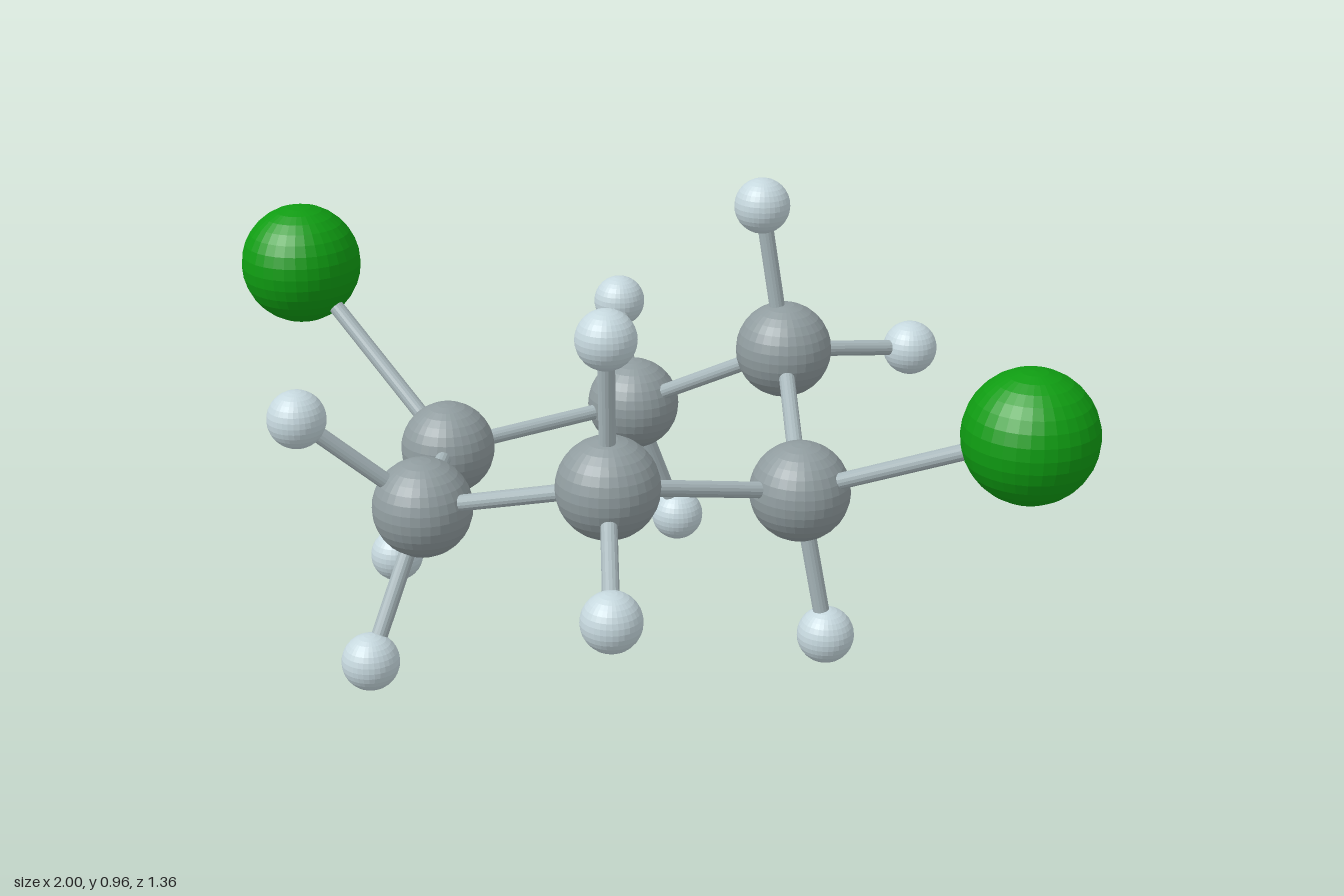
import * as THREE from 'three';

const V = (x, y, z) => new THREE.Vector3(x, y, z);

// Ring carbons in order, each with the smaller atoms attached to it
const RING = [
  { at: V(-0.468, 0.348, 0.002), h: [V(-0.612, 0.06, 0.01)], cl: V(-0.872, 0.69, -0.024) },
  { at: V(-0.233, 0.373, -0.38), h: [V(-0.412, 0.515, -0.607), V(-0.18, 0.073, -0.487)] },
  { at: V(0.158, 0.586, -0.353), h: [V(0.326, 0.538, -0.621), V(0.115, 0.902, -0.325)] },
  { at: V(0.39, 0.442, -0.002), h: [V(0.444, 0.128, -0.027)], cl: V(0.868, 0.663, 0) },
  { at: V(0.179, 0.54, 0.375), h: [V(0.34, 0.403, 0.618), V(0.204, 0.855, 0.419)] },
  { at: V(-0.248, 0.405, 0.39), h: [V(-0.414, 0.617, 0.563), V(-0.267, 0.127, 0.552)] },
];

const paint = (color) => new THREE.MeshStandardMaterial({ color, flatShading: true });

export function createModel() {
  const model = new THREE.Group();
  model.name = 'moleculeModel';

  const kinds = {
    carbonAtom: { geo: new THREE.SphereGeometry(0.101, 32, 16), mat: paint(0x909c9f) },
    hydrogenAtom: { geo: new THREE.SphereGeometry(0.058, 32, 16), mat: paint(0xc6d8de) },
    chlorineAtom: { geo: new THREE.SphereGeometry(0.13, 32, 16), mat: paint(0x0f9c12) },
  };
  const bondMat = paint(0xa9b8bc);

  const addAtom = (kind, at) => {
    const atom = new THREE.Mesh(kinds[kind].geo, kinds[kind].mat);
    atom.name = kind;
    atom.position.copy(at);
    model.add(atom);
  };

  // Thin rod from one atom centre to another
  const addBond = (name, a, b) => {
    const dir = b.clone().sub(a);
    const bond = new THREE.Mesh(new THREE.CylinderGeometry(0.0165, 0.0165, dir.length(), 16), bondMat);
    bond.name = name;
    bond.position.copy(a).add(b).multiplyScalar(0.5);
    bond.quaternion.setFromUnitVectors(V(0, 1, 0), dir.normalize());
    model.add(bond);
  };

  RING.forEach(({ at, h, cl }, i) => {
    addAtom('carbonAtom', at);
    addBond('ringBond', at, RING[(i + 1) % RING.length].at);
    for (const p of h) {
      addAtom('hydrogenAtom', p);
      addBond('hydrogenBond', at, p);
    }
    if (cl) {
      addAtom('chlorineAtom', cl);
      addBond('chlorineBond', at, cl);
    }
  });

  return model;
}
